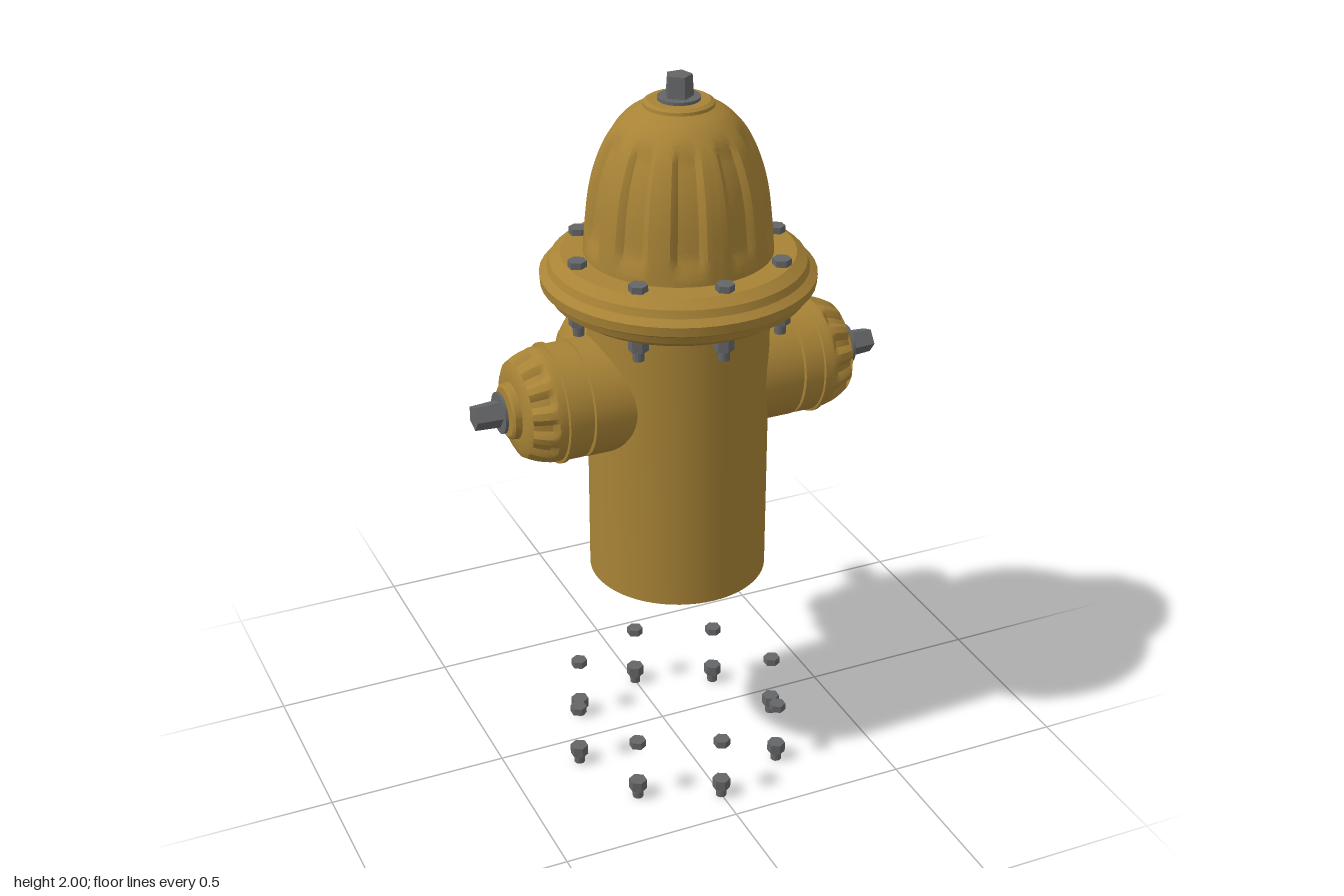
import * as THREE from 'three';
import { toCreasedNormals } from 'three/addons/utils/BufferGeometryUtils.js';

const gold = new THREE.MeshStandardMaterial({ color: 0xa88336, side: THREE.DoubleSide });
gold.name = 'gold paint';
const steel = new THREE.MeshStandardMaterial({ color: 0x646567 });
steel.name = 'grey steel';

const AXIS_Z = 0.1; // the barrel's axis sits forward of the centre

function addMesh(parent, name, geometry, material, crease = 0.5) {
  const mesh = new THREE.Mesh(toCreasedNormals(geometry, crease), material);
  mesh.name = name;
  parent.add(mesh);
  return mesh;
}

const lathe = (profile, segments = 48) =>
  new THREE.LatheGeometry(profile.map(([r, y]) => new THREE.Vector2(r, y)), segments);

// Presses evenly spaced scallops into a lathe between two heights
function flute(geometry, count, depth, y0, y1, fade) {
  const p = geometry.attributes.position;
  for (let i = 0; i < p.count; i++) {
    const x = p.getX(i), y = p.getY(i), z = p.getZ(i), r = Math.hypot(x, z);
    if (r < 1e-6) continue;
    const mask = THREE.MathUtils.smoothstep(y, y0, y0 + fade) * (1 - THREE.MathUtils.smoothstep(y, y1 - fade, y1));
    const wave = THREE.MathUtils.smoothstep(Math.cos(count * Math.atan2(z, x)), -0.35, 0.45);
    const k = 1 - depth * mask * wave / r;
    p.setX(i, x * k);
    p.setZ(i, z * k);
  }
  return geometry;
}

// Removes the triangles whose centre passes the test
function cutOut(geometry, test) {
  const p = geometry.attributes.position, index = geometry.index.array, kept = [];
  const c = new THREE.Vector3(), v = new THREE.Vector3();
  for (let i = 0; i < index.length; i += 3) {
    c.set(0, 0, 0);
    for (let k = 0; k < 3; k++) c.add(v.fromBufferAttribute(p, index[i + k]));
    if (!test(c.divideScalar(3))) kept.push(index[i], index[i + 1], index[i + 2]);
  }
  geometry.setIndex(kept);
  return geometry;
}

function cylinder(parent, name, r, y0, y1, sides, x = 0, z = 0, topR = r) {
  const mesh = addMesh(parent, name, new THREE.CylinderGeometry(topR, r, y1 - y0, sides), steel);
  mesh.position.set(x, (y0 + y1) / 2, z);
  return mesh;
}

// Five-sided operating nut on a round washer
function operatingNut(parent, base, washer, tip) {
  cylinder(parent, 'nutStem', 0.03, base, washer, 20);
  cylinder(parent, 'nutWasher', 0.055, washer, washer + 0.008, 24);
  cylinder(parent, 'operatingNut', 0.038, washer + 0.008, tip, 5, 0, 0, 0.034);
}

// Outlet built along +y; y is the distance from the barrel's axis
function outlet(name, neck, cap, taper, end, nut) {
  const g = new THREE.Group();
  g.name = name;
  addMesh(g, 'outletNeck', lathe(neck), gold);
  addMesh(g, 'capSkirt', lathe(cap), gold);
  const [[r0, y0], [r1, y1]] = taper;
  const rows = [];
  for (let i = 0; i <= 10; i++) {
    const t = i / 10;
    rows.push([r0 + (r1 - r0) * t ** 1.7, y0 + (y1 - y0) * t]);
  }
  addMesh(g, 'scallopedCap', flute(lathe(rows, 96), 12, 0.014, y0 + 0.008, y1 + 0.04, 0.012), gold);
  addMesh(g, 'capFace', lathe(end), gold);
  operatingNut(g, ...nut);
  return g;
}

export function createModel() {
  const model = new THREE.Group();
  model.name = 'hydrant';
  const body = new THREE.Group();
  body.name = 'body';
  body.position.z = AXIS_Z;
  model.add(body);

  // Open barrel and the bolted flange
  addMesh(body, 'barrel', lathe([[0.24, 0.6], [0.24, 1.4]], 64), gold);
  addMesh(body, 'flange', lathe([
    [0.24, 1.37], [0.25, 1.395], [0.305, 1.4], [0.335, 1.42], [0.342, 1.44], [0.358, 1.45],
    [0.36, 1.475], [0.34, 1.49], [0.333, 1.51], [0.305, 1.53], [0.24, 1.532],
  ]), gold);

  // Fluted bonnet with a slot at the back
  const curve = new THREE.SplineCurve([
    [0.246, 1.53], [0.241, 1.6], [0.229, 1.7], [0.208, 1.78], [0.175, 1.85], [0.13, 1.9], [0.085, 1.925],
  ].map(([r, y]) => new THREE.Vector2(r, y)));
  const bonnet = flute(new THREE.LatheGeometry(curve.getPoints(60), 160), 10, 0.013, 1.54, 1.89, 0.07);
  const angle = THREE.MathUtils.degToRad(56);
  const out = new THREE.Vector3(Math.cos(angle), 0, -Math.sin(angle));
  const across = new THREE.Vector3(Math.sin(angle), 0, Math.cos(angle));
  cutOut(bonnet, (c) => c.dot(out) > 0
    && Math.hypot(c.dot(across), Math.max(0, Math.abs(c.y - 1.79) - 0.037)) < 0.028);
  addMesh(body, 'bonnet', bonnet, gold);
  addMesh(body, 'bonnetCollar', lathe([[0.092, 1.918], [0.09, 1.93], [0.08, 1.936], [0, 1.936]]), gold);
  const pin = cylinder(body, 'slotPin', 0.016, -0.04, 0.04, 16);
  pin.position.copy(out).multiplyScalar(0.155).setY(1.79);
  pin.quaternion.setFromUnitVectors(new THREE.Vector3(0, 1, 0), out);
  operatingNut(body, 1.93, 1.936, 2.0);

  // Eight flange bolts, and the loose ones for the foot
  for (let i = 0; i < 8; i++) {
    const a = i * Math.PI / 4, x = Math.sin(a), z = Math.cos(a);
    const ring = (name, radius, r, y0, y1, sides) =>
      cylinder(body, name, r, y0, y1, sides, x * radius, z * radius);
    ring('flangeBoltHead', 0.28, 0.025, 1.525, 1.548, 6);
    ring('flangeNut', 0.28, 0.026, 1.368, 1.402, 6);
    ring('flangeBoltEnd', 0.28, 0.015, 1.34, 1.37, 12);
    ring('footBoltHead', 0.302, 0.023, 0.17, 0.19, 6);
    ring('footNut', 0.302, 0.025, 0.027, 0.056, 6);
    ring('footBoltEnd', 0.302, 0.015, 0, 0.028, 12);
  }

  // Two side outlets
  for (const side of [1, -1]) {
    const g = outlet(side > 0 ? 'leftOutlet' : 'rightOutlet',
      [[0.155, 0.15], [0.155, 0.295], [0.145, 0.297], [0.145, 0.305]],
      [[0.145, 0.302], [0.154, 0.304], [0.154, 0.357], [0.16, 0.359], [0.16, 0.368], [0.152, 0.37], [0.152, 0.386]],
      [[0.152, 0.386], [0.125, 0.458]],
      [[0.127, 0.456], [0.11, 0.465], [0.075, 0.467], [0.073, 0.484], [0.065, 0.489], [0, 0.489]],
      [0.485, 0.497, 0.573]);
    g.rotation.z = -side * Math.PI / 2;
    g.position.y = 1.16;
    body.add(g);
  }

  // Larger rear outlet
  const rear = outlet('rearOutlet',
    [[0.212, 0.1], [0.212, 0.325], [0.196, 0.327], [0.196, 0.336]],
    [[0.196, 0.33], [0.207, 0.332], [0.207, 0.342], [0.193, 0.344], [0.193, 0.398]],
    [[0.193, 0.398], [0.16, 0.456]],
    [[0.162, 0.455], [0.14, 0.462], [0.085, 0.464], [0.083, 0.474], [0.075, 0.478], [0, 0.478]],
    [0.475, 0.494, 0.565]);
  rear.rotation.x = -Math.PI / 2;
  rear.position.y = 1.08;
  body.add(rear);

  // Chain eye under the rear outlet
  const eye = new THREE.Shape();
  eye.moveTo(0.13, 0.88);
  eye.lineTo(0.13, 0.8);
  eye.lineTo(0.165, 0.8);
  eye.absarc(0.17, 0.828, 0.028, -Math.PI / 2, 0, false);
  eye.lineTo(0.21, 0.88);
  const hole = new THREE.Path();
  hole.absarc(0.168, 0.83, 0.012, 0, Math.PI * 2, true);
  eye.holes.push(hole);
  const chainEye = addMesh(model, 'chainEye',
    new THREE.ExtrudeGeometry(eye, { depth: 0.04, bevelEnabled: false, curveSegments: 10 }), steel);
  chainEye.rotation.y = Math.PI / 2;
  chainEye.position.x = -0.02;

  return model;
}
